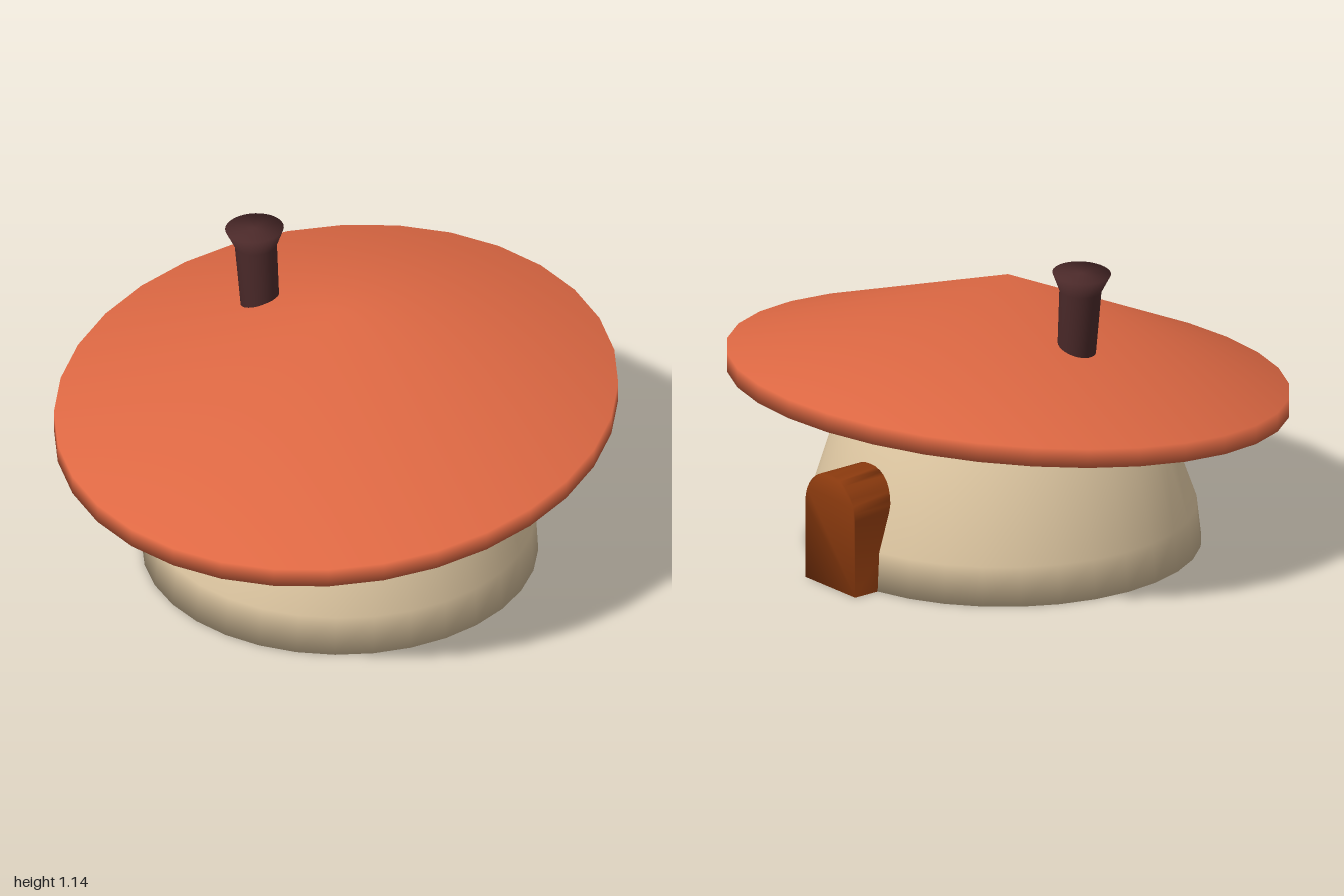
import * as THREE from 'three';
import { mergeVertices } from 'three/addons/utils/BufferGeometryUtils.js';

const SEG = 32;

// Closed solid of revolution-like rings [y, radius, x, z, tiltX, tiltZ];
// tilt raises a ring along x or z. Vertices are shared for soft shading.
function ringSolid(rings, seg = SEG) {
  const pos = [], idx = [];
  const at = (i, j) => i * seg + (j % seg);
  for (const [y, r, cx = 0, cz = 0, tx = 0, tz = 0] of rings) {
    for (let j = 0; j < seg; j++) {
      const a = (j / seg) * Math.PI * 2;
      const dx = r * Math.sin(a), dz = r * Math.cos(a);
      pos.push(cx + dx, y + tx * dx + tz * dz, cz + dz);
    }
  }
  const last = rings.length - 1;
  const bottom = pos.length / 3, top = bottom + 1;
  for (const [y, , cx = 0, cz = 0] of [rings[0], rings[last]]) pos.push(cx, y, cz);
  for (let j = 0; j < seg; j++) {
    for (let i = 0; i < last; i++) {
      const a = at(i, j), b = at(i, j + 1), c = at(i + 1, j + 1), d = at(i + 1, j);
      idx.push(a, b, c, a, c, d);
    }
    idx.push(bottom, at(0, j + 1), at(0, j));
    idx.push(top, at(last, j), at(last, j + 1));
  }
  const g = new THREE.BufferGeometry();
  g.setAttribute('position', new THREE.Float32BufferAttribute(pos, 3));
  g.setIndex(idx);
  g.computeVertexNormals();
  return g;
}

// Cone roof with a thin rim that slopes down to the front
function roofGeometry() {
  const g = ringSolid([
    [0.57, 1, 0, 0, 0, -0.11],
    [0.64, 1, 0, 0, 0, -0.11],
  ]);
  // Lift the centre of the top fan to the peak
  const p = g.attributes.position;
  p.setY(p.count - 1, 0.995);
  g.computeVertexNormals();
  return g;
}

// Arched door slab
function doorGeometry() {
  const w = 0.14, spring = 0.285;
  const s = new THREE.Shape();
  s.moveTo(-w, 0);
  s.lineTo(w, 0);
  s.lineTo(w, spring);
  s.absarc(0, spring, w, 0, Math.PI, false);
  s.lineTo(-w, 0);
  let g = new THREE.ExtrudeGeometry(s, { depth: 0.25, bevelEnabled: false, curveSegments: 8 });
  g.translate(0, 0, -0.81);
  g.deleteAttribute('normal');
  g.deleteAttribute('uv');
  g = mergeVertices(g, 1e-4);
  g.computeVertexNormals();
  return g;
}

export function createModel() {
  const group = new THREE.Group();
  const add = (name, geometry, color) => {
    const mesh = new THREE.Mesh(geometry, new THREE.MeshStandardMaterial({ color }));
    mesh.name = name;
    group.add(mesh);
  };

  // Rounded wall, its upper rings tilted with the roof
  add('wall', ringSolid([
    [0, 0.702, 0, -0.02],
    [0.145, 0.69, 0, -0.025],
    [0.45, 0.59, 0, -0.01, 0, -0.12],
    [0.6, 0.45, 0, 0, 0, -0.11],
  ]), 0xdcc5a0);

  add('roof', roofGeometry(), 0xdd6843);

  // Leaning chimney with a flared mouth
  add('chimney', ringSolid([
    [0.72, 0.066, -0.41, -0.027, 0.07],
    [1.065, 0.075, -0.441, -0.027, 0.07],
    [1.132, 0.104, -0.448, -0.027, 0.07],
  ]), 0x4c2a2a);

  add('door', doorGeometry(), 0x8b3a0e);

  return group;
}
